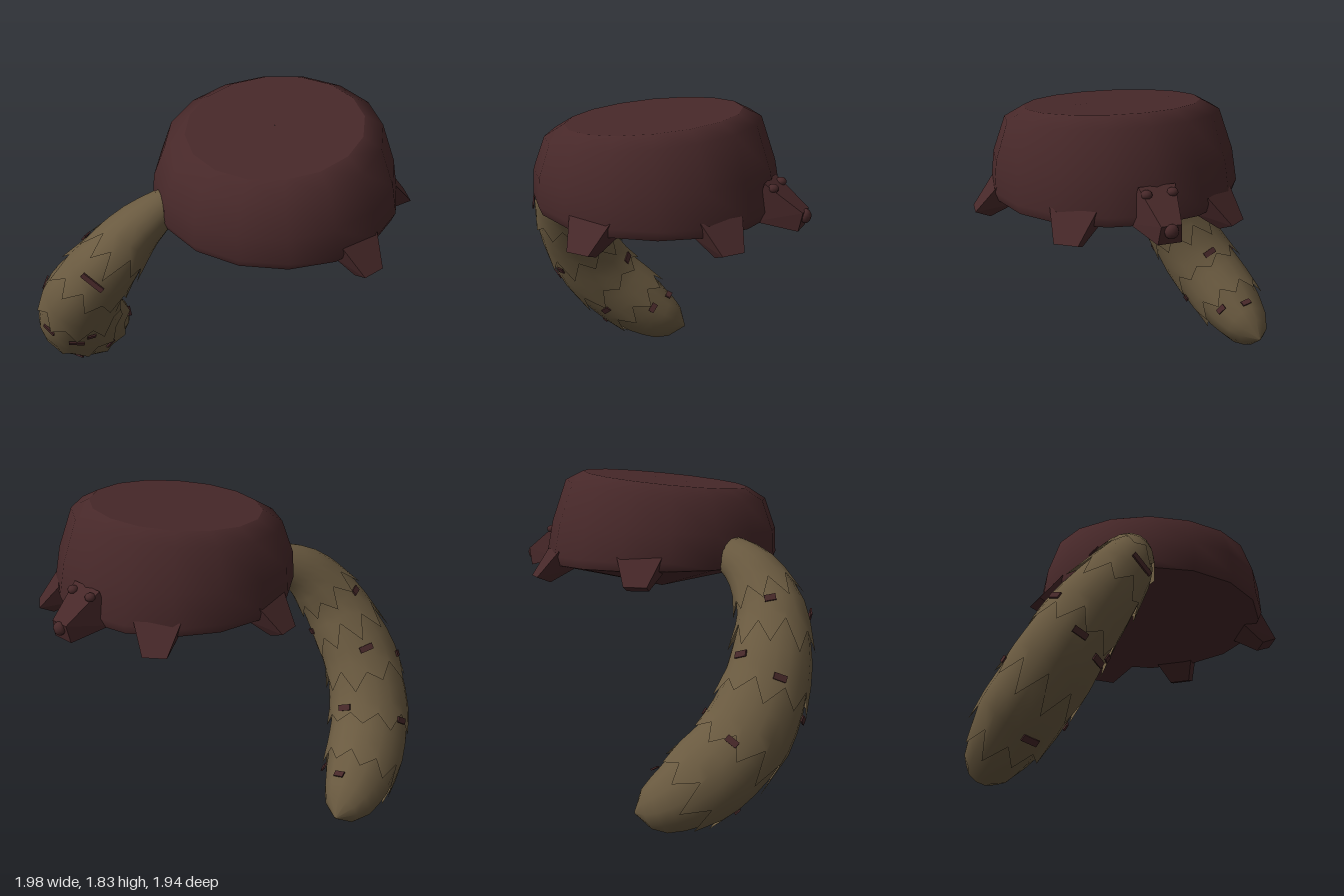
import * as THREE from 'three';
import { ConvexGeometry } from 'three/addons/geometries/ConvexGeometry.js';

const CX = 0.23, CZ = -0.1; // centre of the drum-shaped body

// Smooth surface through rows of points, closed around each row
function loft(rows, cols, point) {
  const pos = [], idx = [];
  for (let i = 0; i < rows; i++)
    for (let j = 0; j < cols; j++) pos.push(...point(i, j).toArray());
  for (let i = 0; i < rows - 1; i++)
    for (let j = 0; j < cols; j++) {
      const k = (j + 1) % cols;
      const a = i * cols + j, b = a + cols, c = b - j + k, d = i * cols + k;
      idx.push(a, b, c, a, c, d);
    }
  const g = new THREE.BufferGeometry();
  g.setAttribute('position', new THREE.Float32BufferAttribute(pos, 3));
  g.setIndex(idx);
  g.computeVertexNormals();
  return g;
}

// Tail path with an in-plane frame
const V = (x, y, z) => new THREE.Vector3(x, y, z);
const path = new THREE.CatmullRomCurve3([
  V(-0.09, 1.48, 0.4), V(-0.17, 1.37, 0.57), V(-0.27, 1.18, 0.7), V(-0.4, 0.98, 0.74),
  V(-0.51, 0.8, 0.735), V(-0.64, 0.55, 0.65), V(-0.74, 0.36, 0.48), V(-0.79, 0.25, 0.33),
  V(-0.83, 0.17, 0.13)]);
const N = V(0.866, -0.5, 0);
const RADII = [[0, 0.1], [0.12, 0.14], [0.25, 0.18], [0.4, 0.21], [0.6, 0.23], [0.75, 0.225],
  [0.85, 0.2], [0.92, 0.16], [0.97, 0.1], [1, 0.005]];

function radiusAt(t) {
  for (let i = 1; i < RADII.length; i++) {
    const [t0, r0] = RADII[i - 1], [t1, r1] = RADII[i];
    if (t <= t1) return r0 + (r1 - r0) * (t - t0) / (t1 - t0);
  }
  return 0.005;
}

// Point on the tail; angle 0 is the inner left side, 90 degrees the outer curve
function tailPoint(t, angle, lift = 0) {
  t = Math.min(t, 1);
  const T = path.getTangentAt(t);
  const O = T.clone().cross(N).normalize();
  const S = O.clone().cross(T).normalize();
  const r = radiusAt(t) + lift;
  return path.getPointAt(t)
    .addScaledVector(S, Math.cos(angle) * r * 0.92)
    .addScaledVector(O, Math.sin(angle) * r);
}

export function createModel() {
  const model = new THREE.Group();
  const bodyMat = new THREE.MeshStandardMaterial({ color: 0x472829 });
  bodyMat.name = 'dark maroon';
  const tailMat = new THREE.MeshStandardMaterial({ color: 0x6a5a40, side: THREE.DoubleSide });
  tailMat.name = 'olive brown';
  const add = (name, geo, mat, parent = model) => {
    const m = new THREE.Mesh(geo, mat);
    m.name = name;
    parent.add(m);
    return m;
  };

  // Body: rings of [radius, centre z, front y, back y]
  const rings = (list) => loft(list.length, 16, (i, j) => {
    const [r, cz, yf, yb] = list[i], a = j / 16 * Math.PI * 2;
    return V(CX + Math.cos(a) * r, (yf + yb) / 2 + Math.sin(a) * (yf - yb) / 2, cz + Math.sin(a) * r);
  });
  const lower = [0.655, CZ, 1.385, 1.375], upper = [0.48, -0.08, 1.81, 1.91];
  add('bodyUnderside', rings([[0.001, CZ, 1.23, 1.23], lower]), bodyMat);
  add('bodySide', rings([lower, [0.675, CZ, 1.43, 1.43], [0.655, -0.085, 1.57, 1.62],
    [0.585, -0.075, 1.74, 1.86], upper]), bodyMat);
  add('bodyTop', rings([upper, [0.001, -0.08, 1.86, 1.86]]), bodyMat);

  // Four stubby tapered feet, turned about the body centre
  const foot = new ConvexGeometry([-1, 1].flatMap((s) => [
    V(0.655, 1.46, s * 0.125), V(0.56, 1.36, s * 0.11),
    V(0.77, 1.31, s * 0.065), V(0.69, 1.28, s * 0.06)]));
  for (const [name, deg] of [['leftFrontFoot', -9], ['rightFrontFoot', 189],
    ['leftBackFoot', 52], ['rightBackFoot', 128]]) {
    const m = add(name, foot, bodyMat);
    m.position.set(CX, 0, CZ);
    m.rotation.y = deg * Math.PI / 180;
  }

  // Head pointing backward with nose and eyes
  const head = new THREE.Group();
  head.name = 'head';
  head.position.x = CX;
  model.add(head);
  add('snout', new ConvexGeometry([-1, 1].flatMap((s) => [
    V(s * 0.1, 1.58, -0.74), V(s * 0.135, 1.38, -0.7),
    V(s * 0.055, 1.43, -0.94), V(s * 0.065, 1.33, -0.92)])), bodyMat, head);
  const nose = add('nose', new THREE.SphereGeometry(0.038, 10, 8), bodyMat, head);
  nose.position.set(0, 1.4, -0.94);
  nose.scale.z = 0.8;
  for (const s of [-1, 1]) {
    const eye = add('eye', new THREE.SphereGeometry(0.03, 10, 8), bodyMat, head);
    eye.position.set(s * 0.07, 1.55, -0.78);
    eye.scale.y = 0.8;
  }

  // Tail core
  const tail = new THREE.Group();
  tail.name = 'tail';
  model.add(tail);
  const SIDES = 12, ROWS = 27;
  add('tailCore', loft(ROWS, SIDES, (i, j) =>
    tailPoint(i / (ROWS - 1), -j / SIDES * Math.PI * 2)), tailMat, tail);

  // Overlapping ragged bark sleeves, teeth pointing to the tip
  let seed = 7;
  const rand = () => (seed = (seed * 16807) % 2147483647) / 2147483647;
  [[0.02, 0.2], [0.15, 0.34], [0.3, 0.5], [0.46, 0.66], [0.62, 0.81]].forEach(([t0, t1], n) => {
    const teeth = Array.from({ length: 18 }, (_, j) => (j % 2 ? 0.02 + rand() * 0.045 : -rand() * 0.03));
    add('barkSleeve' + (n + 1), loft(5, 18, (i, j) => {
      const a = -(j + n * 0.5) / 18 * Math.PI * 2;
      if (i < 4) return tailPoint(t0 + (t1 - 0.05 - t0) * i / 3, a, 0.002 + i * 0.004);
      return tailPoint(t1 + teeth[j], a, j % 2 ? 0.028 : 0.015);
    }), tailMat, tail);
  });

  // Thin dark chips: [position along tail, angle in degrees, length]
  const chips = [[0.27, 70, 0.14], [0.53, 85, 0.08], [0.77, 60, 0.09], [0.47, 150, 0.07],
    [0.66, 170, 0.07], [0.52, 20, 0.05], [0.55, 40, 0.09], [0.72, -5, 0.06], [0.86, -60, 0.06],
    [0.9, -110, 0.06], [0.62, -100, 0.08], [0.42, -150, 0.08], [0.25, 170, 0.06], [0.3, -60, 0.06]];
  for (const [t, deg, len] of chips) {
    const a = deg * Math.PI / 180;
    const p = tailPoint(t, a, 0.018);
    const out = p.clone().sub(path.getPointAt(t)).normalize();
    const along = path.getTangentAt(t);
    const m = add('chip', new THREE.BoxGeometry(len, 0.035, 0.009), bodyMat, tail);
    m.quaternion.setFromRotationMatrix(
      new THREE.Matrix4().makeBasis(along.clone().cross(out), along, out));
    m.position.copy(p);
  }
  return model;
}
